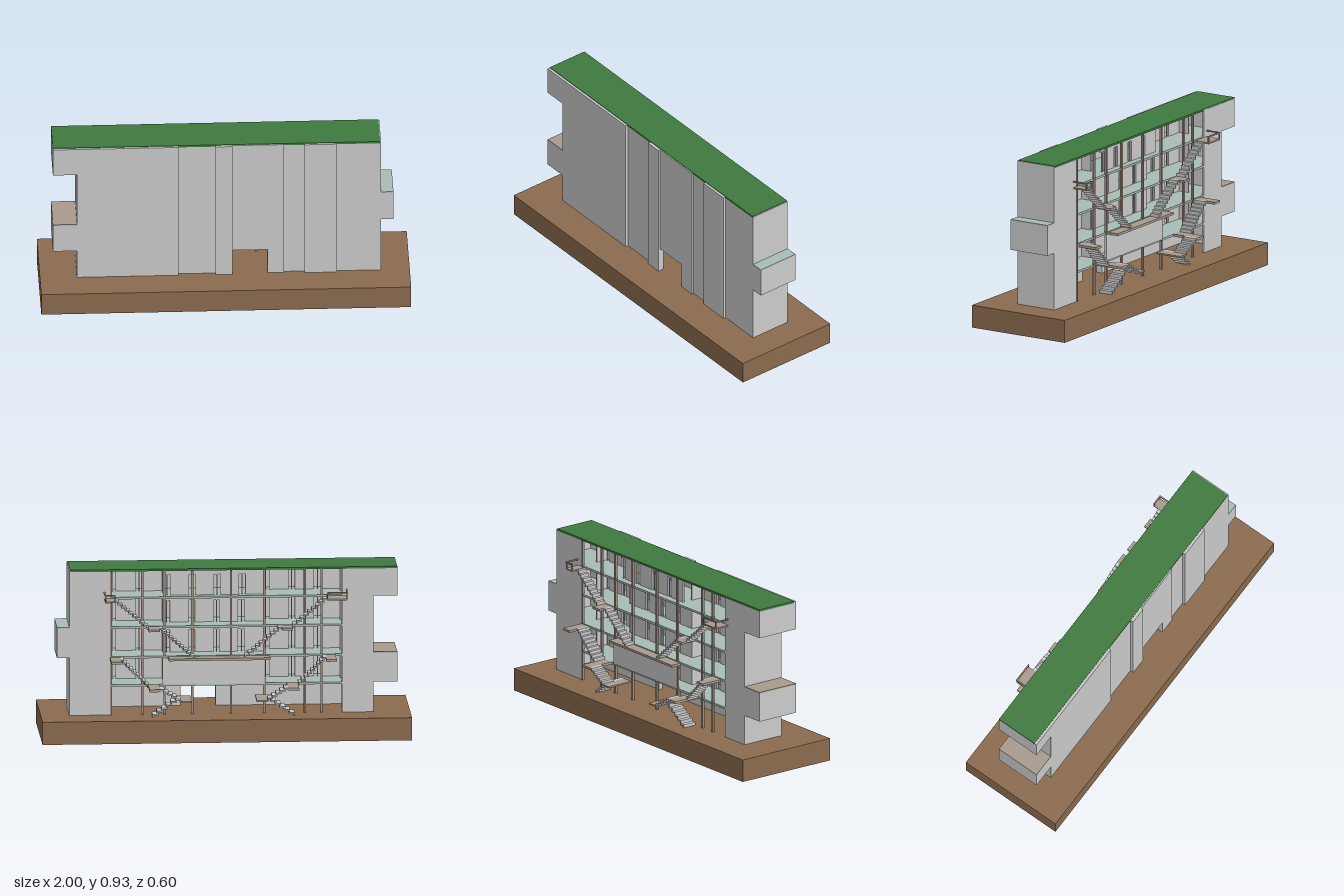
import * as THREE from 'three';

const mat = (color) => new THREE.MeshStandardMaterial({ color, flatShading: true });

export function createModel() {
  const model = new THREE.Group();
  const grey = mat(0xcccccc), earth = mat(0x8b6b4e), green = mat(0x3f7a3f);
  const slabMat = mat(0xa9bdb6), wood = mat(0xa08c80), deckMat = mat(0xa89c8e);

  // Box given by its limits on each axis
  function box(name, x0, x1, y0, y1, z0, z1, material = grey) {
    const mesh = new THREE.Mesh(
      new THREE.BoxGeometry(Math.abs(x1 - x0), y1 - y0, z1 - z0), material);
    mesh.position.set((x0 + x1) / 2, (y0 + y1) / 2, (z0 + z1) / 2);
    mesh.name = name;
    model.add(mesh);
    return mesh;
  }

  const ground = 0.125, top = 0.924, back = -0.13;
  const levels = [0.28, 0.435, 0.6, 0.762];

  // Ground block and planted roof
  box('groundBlock', -1, 1, 0, ground, -0.3, 0.3, earth);
  box('greenRoof', -0.93, 0.84, top - 0.008, 0.927, back, 0.108, green);

  // Front wall: strips stepping in and out, [x0, x1, front z, bottom y]
  const strips = [
    [-0.8, -0.25, 0.122, ground], [-0.25, -0.05, 0.106, ground],
    [-0.05, 0.04, 0.125, ground], [0.04, 0.23, 0.115, 0.27],
    [0.23, 0.32, 0.115, ground], [0.32, 0.43, 0.104, ground],
    [0.43, 0.605, 0.122, ground], [0.605, 0.84, 0.108, ground],
  ];
  strips.forEach(([x0, x1, z, y]) => box('frontWallStrip', x0, x1, y, top, 0.09, z));

  // End walls and the solid corners of the open back
  box('rightEndWall', -0.8, -0.785, ground, top, back, 0.11);
  box('leftEndWall', 0.825, 0.845, ground, top, back, 0.108);
  box('rightBackWall', -0.8, -0.63, ground, top, back, back + 0.015);
  box('leftBackWall', 0.62, 0.84, ground, top, back, back + 0.015);

  // Rooms projecting from the ends
  box('upperRightBay', -0.93, -0.8, 0.765, top, back, 0.122);
  box('lowerRightBay', -0.93, -0.8, 0.29, 0.45, back, 0.122);
  box('lowerRightBayRoof', -0.93, -0.8, 0.45, 0.456, back, 0.122, deckMat);
  box('leftBay', 0.84, 0.912, 0.442, 0.605, back, 0.108);
  box('leftBayRoof', 0.84, 0.912, 0.605, 0.612, back, 0.108, slabMat);

  // Floors
  levels.forEach((y) => box('floorSlab', -0.79, 0.83, y, y + 0.012, back + 0.002, 0.092, slabMat));

  // Room walls behind the open back: panels with door gaps and thin frames
  levels.forEach((y, i) => {
    const y0 = y + 0.012, y1 = i < 3 ? levels[i + 1] : top - 0.008;
    const bays = [
      [-0.63, -0.21, 0.03],
      [-0.21, 0.33, i === 3 ? -0.09 : -0.03],
      [0.33, 0.62, 0.03],
    ];
    bays.forEach(([x0, x1, z]) => {
      const n = Math.round((x1 - x0) / 0.135), w = (x1 - x0) / n;
      for (let k = 0; k < n; k++) {
        const a = x0 + k * w;
        box('roomWall', a, a + w - 0.035, y0, y1, z, z + 0.01);
        box('doorHead', a + w - 0.035, a + w, y1 - 0.03, y1, z, z + 0.01);
        box('doorFrame', a + w - 0.02, a + w - 0.015, y0, y1 - 0.03, z, z + 0.006);
      }
    });
    [-0.63, -0.21, 0.33, 0.62].forEach((x) =>
      box('partition', x - 0.004, x + 0.004, y0, y1, -0.03, 0.09));
  });
  box('middleBackWall', -0.21, 0.34, 0.29, 0.435, back - 0.005, back + 0.008);

  // Slender posts along the open back
  [0.62, 0.45, 0.33, 0.18, -0.03, -0.21, -0.43, -0.52].forEach((x) =>
    box('post', x - 0.006, x + 0.006, ground, top - 0.008, back - 0.003, back + 0.009, wood));

  // Stepped ribbon rising from (x0, y0) to (x1, y1)
  function flight(x0, y0, x1, y1, z0, z1) {
    const n = Math.max(5, Math.round((y1 - y0) / 0.0165));
    const w = (x1 - x0) / n, h = (y1 - y0) / n, t = 0.007;
    const upper = [[x0, y0]];
    for (let i = 0; i < n; i++) {
      upper.push([x0 + i * w, y0 + (i + 1) * h], [x0 + (i + 1) * w, y0 + (i + 1) * h]);
    }
    const lower = upper.map(([x, y]) => [x + Math.sign(w) * t, Math.max(y - t, ground)]).reverse();
    const shape = new THREE.Shape([...upper, ...lower].map(([x, y]) => new THREE.Vector2(x, y)));
    const mesh = new THREE.Mesh(
      new THREE.ExtrudeGeometry(shape, { depth: z1 - z0, bevelEnabled: false }), grey);
    mesh.position.z = z0;
    mesh.name = 'stairFlight';
    model.add(mesh);
  }

  // Outside stairs, one run on each half of the back
  [1, -1].forEach((s) => {
    const d = s > 0 ? 0.03 : 0; // the left run sits slightly further out
    const land = (a, b, y0, y1, z) =>
      box('landing', Math.min(s * a, s * b), Math.max(s * a, s * b), y0, y1, z, back, deckMat);
    const run = (a, y0, b, y1, z0, z1 = back) => flight(s * a, y0, s * b, y1, z0, z1);

    // Lower run: ground, turn, and up to the second floor
    run(0.37 + d, ground, 0.22 + d, 0.228, -0.21);
    land(0.16 + d, 0.22 + d, 0.22, 0.228, -0.285);
    run(0.22 + d, 0.228, 0.33 + d, 0.294, -0.285, -0.205);
    land(0.33 + d, 0.39 + d, 0.28, 0.294, -0.285);
    run(0.39 + d, 0.294, 0.54 + d, 0.443, -0.206);
    land(0.54 + d, 0.595 + d, 0.43, 0.443, -0.255);

    // Upper run: middle deck to the top landing
    const m = s > 0 ? 0.17 : 0.1, e = s > 0 ? 0.6 : 0.545;
    run(m, 0.443, 0.3 + 2 * d, 0.61, -0.187);
    land(0.3 + 2 * d, 0.36 + 2 * d, 0.597, 0.61, -0.215);
    run(0.36 + 2 * d, 0.61, e, 0.765, -0.184);
    land(e, 0.655, 0.76, 0.768, -0.215);

    // Rail round the top landing
    const x0 = Math.min(s * e, s * 0.655), x1 = Math.max(s * e, s * 0.655), o = s * 0.655;
    box('railPost', x0, x0 + 0.006, 0.768, 0.803, -0.215, -0.209, wood);
    box('railPost', x1 - 0.006, x1, 0.768, 0.803, -0.215, -0.209, wood);
    box('railBar', x0, x1, 0.797, 0.804, -0.215, -0.208, wood);
    box('railBar', o - 0.004, o + 0.004, 0.797, 0.804, -0.215, back, wood);
  });

  // Long deck between the two upper runs
  box('middleDeck', -0.24, 0.31, 0.43, 0.443, -0.19, back, deckMat);

  return model;
}
